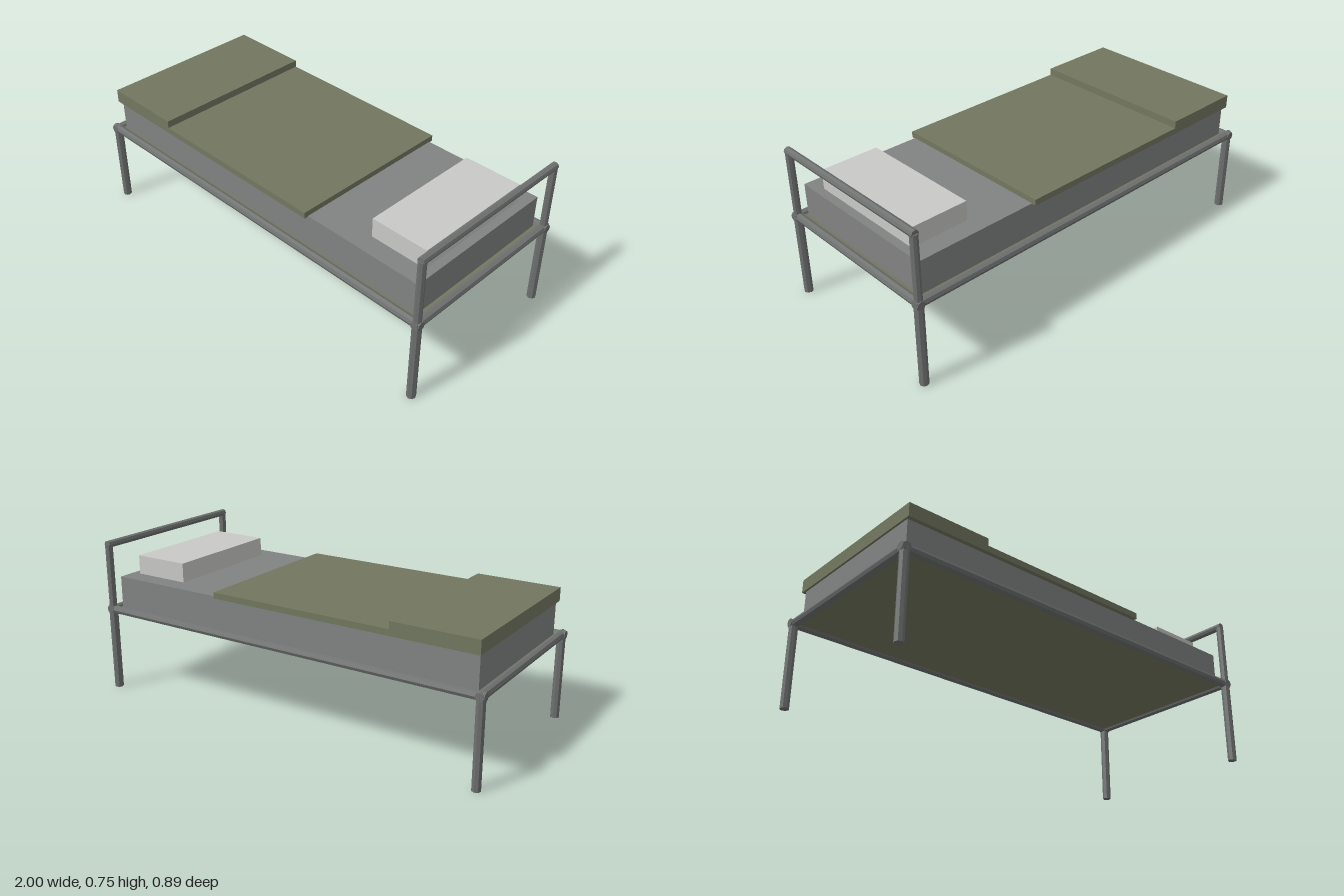
import * as THREE from 'three';

const paint = (name, color, flatShading = false) => {
  const m = new THREE.MeshStandardMaterial({ color, flatShading });
  m.name = name;
  return m;
};

export function createModel() {
  const bed = new THREE.Group();
  bed.name = 'bed';
  const metal = paint('grey metal', 0x6e7170, true);
  const sheet = paint('grey sheet', 0x818382);
  const olive = paint('olive wool', 0x72775f);
  const linen = paint('pale linen', 0xc9c9c7);

  // Eight-sided pipe between two points
  const pipe = (name, a, b, radius) => {
    const from = new THREE.Vector3(...a), to = new THREE.Vector3(...b);
    const dir = to.clone().sub(from);
    const mesh = new THREE.Mesh(new THREE.CylinderGeometry(radius, radius, dir.length(), 8), metal);
    mesh.position.copy(from).add(to).multiplyScalar(0.5);
    mesh.quaternion.setFromUnitVectors(new THREE.Vector3(0, 1, 0), dir.normalize());
    mesh.name = name;
    bed.add(mesh);
  };

  // Box given by its x and y ranges, centred on z = 0
  const slab = (name, x0, x1, y0, y1, depth, material) => {
    const mesh = new THREE.Mesh(new THREE.BoxGeometry(x1 - x0, y1 - y0, depth), material);
    mesh.position.set((x0 + x1) / 2, (y0 + y1) / 2, 0);
    mesh.name = name;
    bed.add(mesh);
  };

  const X = 0.979, Z = 0.423, RAIL = 0.405, TOP = 0.728;

  // Frame: legs, side rails, end rails
  for (const s of [-1, 1]) {
    for (const e of [-1, 1]) pipe('leg', [e * X, 0, s * Z], [e * X, RAIL, s * Z], 0.021);
    pipe('sideRail', [-1, RAIL, s * Z], [1, RAIL, s * Z], 0.02);
    pipe('endRail', [s * X, RAIL, -0.443], [s * X, RAIL, 0.443], 0.02);
    pipe('headPost', [X, RAIL, s * Z], [X, TOP, s * Z], 0.018);
  }
  pipe('headBar', [X, TOP, -0.433], [X, TOP, 0.433], 0.018);

  // Bedding
  slab('basePanel', -0.965, 0.965, 0.4, 0.41, 0.82, olive);
  slab('mattress', -0.953, 0.945, 0.41, 0.566, 0.784, sheet);
  slab('blanket', -0.56, 0.348, 0.563, 0.592, 0.824, olive);
  slab('foldedBlanket', -0.962, -0.56, 0.563, 0.627, 0.824, olive);
  slab('pillow', 0.625, 0.905, 0.566, 0.658, 0.604, linen);

  return bed;
}
